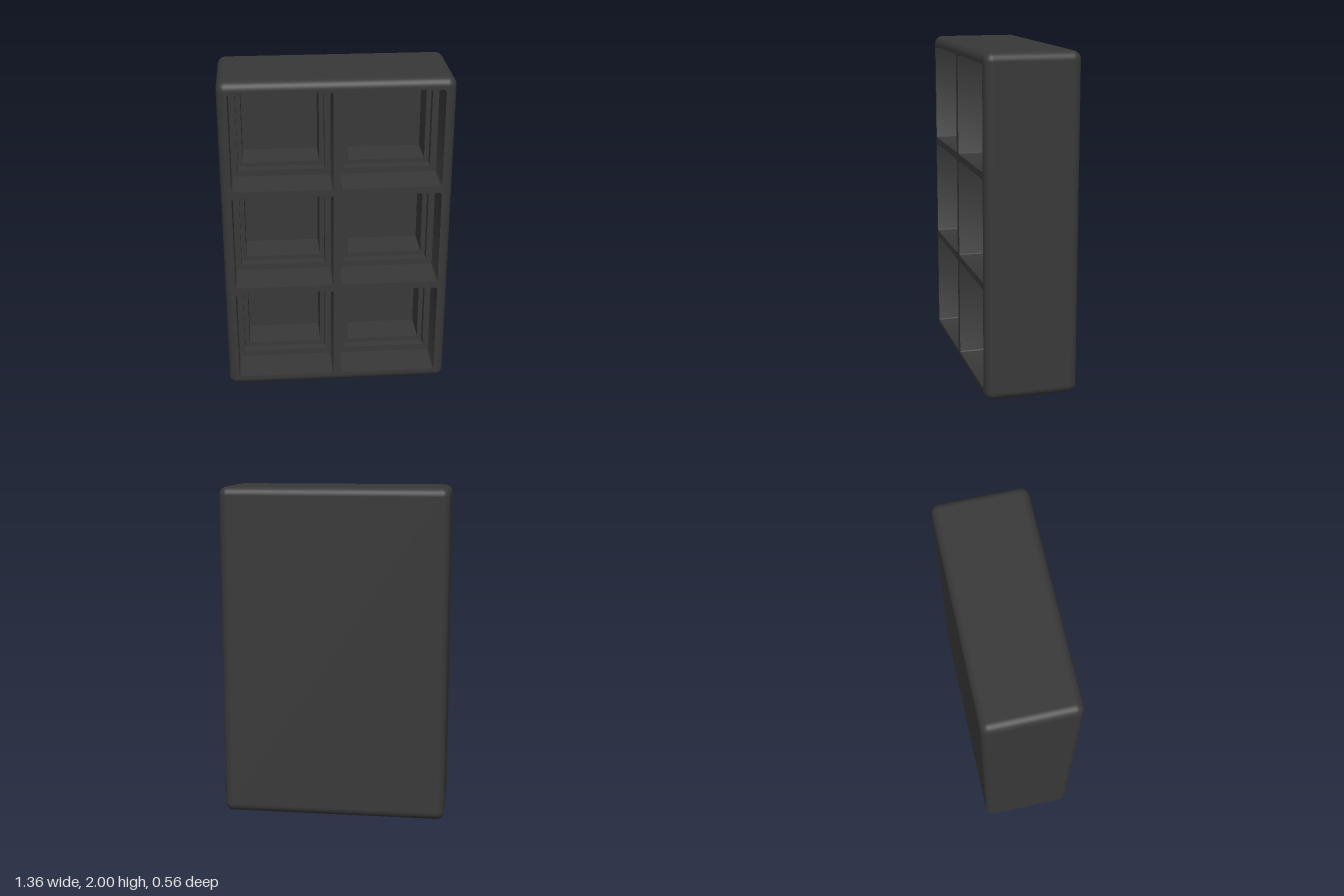
import * as THREE from 'three';
import { toCreasedNormals } from 'three/addons/utils/BufferGeometryUtils.js';
import { RoundedBoxGeometry } from 'three/addons/geometries/RoundedBoxGeometry.js';

const W = 1.36, H = 2, D = 0.556, R = 0.05;
const FRONT = D / 2;
const COLUMNS = [-0.32, 0.32];
const ROWS = [0.363, 1, 1.637];

// Nested square steps of a compartment: half width, corner radius, start and end depth
const STEPS = [
  { half: 0.298, r: 0.018, from: 0, to: 0.235 },
  { half: 0.26, r: 0, from: 0.235, to: 0.29 },
  { half: 0.231, r: 0, from: 0.29, to: 0.5 },
];

// Square outline, optionally with rounded corners, running counter-clockwise
function square(half, r, cx = 0, cy = 0, Type = THREE.Shape) {
  const s = new Type();
  if (r === 0) {
    s.moveTo(cx - half, cy - half);
    s.lineTo(cx + half, cy - half);
    s.lineTo(cx + half, cy + half);
    s.lineTo(cx - half, cy + half);
    s.closePath();
    return s;
  }
  const c = half - r;
  s.absarc(cx + c, cy - c, r, -Math.PI / 2, 0);
  s.absarc(cx + c, cy + c, r, 0, Math.PI / 2);
  s.absarc(cx - c, cy + c, r, Math.PI / 2, Math.PI);
  s.absarc(cx - c, cy - c, r, Math.PI, Math.PI * 1.5);
  s.closePath();
  return s;
}

// Inward-facing wall following a square outline between two depths
function wallGeometry({ half, r, from, to }) {
  const pts = square(half, r).getPoints(5);
  const pos = [];
  for (let i = 0; i < pts.length - 1; i++) {
    const a = pts[i], b = pts[i + 1];
    if (a.distanceTo(b) < 1e-6) continue;
    pos.push(a.x, a.y, -from, b.x, b.y, -to, a.x, a.y, -to);
    pos.push(a.x, a.y, -from, b.x, b.y, -from, b.x, b.y, -to);
  }
  const g = new THREE.BufferGeometry();
  g.setAttribute('position', new THREE.Float32BufferAttribute(pos, 3));
  return toCreasedNormals(g, Math.PI / 5);
}

// Rounded box with its flat front face left open
function shellGeometry() {
  const box = new RoundedBoxGeometry(W, H, D, 6, R);
  const src = box.index ? box.toNonIndexed() : box;
  const p = src.attributes.position, n = src.attributes.normal;
  const pos = [], nor = [];
  for (let i = 0; i < p.count; i += 3) {
    const flat = [0, 1, 2].every((k) => p.getZ(i + k) > FRONT - 1e-5);
    if (flat) continue;
    for (let k = i; k < i + 3; k++) {
      pos.push(p.getX(k), p.getY(k), p.getZ(k));
      nor.push(n.getX(k), n.getY(k), n.getZ(k));
    }
  }
  const g = new THREE.BufferGeometry();
  g.setAttribute('position', new THREE.Float32BufferAttribute(pos, 3));
  g.setAttribute('normal', new THREE.Float32BufferAttribute(nor, 3));
  return g;
}

export function createModel() {
  const model = new THREE.Group();
  model.name = 'cubbyShelf';
  const charcoal = new THREE.MeshStandardMaterial({ color: 0x383838 });
  charcoal.name = 'charcoal';

  const add = (parent, name, geometry, x = 0, y = 0, z = 0) => {
    const mesh = new THREE.Mesh(geometry, charcoal);
    mesh.name = name;
    mesh.position.set(x, y, z);
    parent.add(mesh);
  };

  // Outer casing
  add(model, 'casing', shellGeometry(), 0, H / 2, 0);

  // Front lattice with six openings
  const w = W / 2 - R;
  const face = new THREE.Shape([
    new THREE.Vector2(-w, R), new THREE.Vector2(w, R),
    new THREE.Vector2(w, H - R), new THREE.Vector2(-w, H - R),
  ]);
  for (const x of COLUMNS) {
    for (const y of ROWS) face.holes.push(square(STEPS[0].half, STEPS[0].r, x, y, THREE.Path));
  }
  add(model, 'frontLattice', new THREE.ShapeGeometry(face, 5), 0, 0, FRONT);

  // Shared compartment pieces: walls, and the ledge or back panel ending each step
  const walls = STEPS.map(wallGeometry);
  const ends = STEPS.map((step, i) => {
    const shape = square(step.half, step.r);
    const next = STEPS[i + 1];
    if (next) shape.holes.push(square(next.half, next.r, 0, 0, THREE.Path));
    return new THREE.ShapeGeometry(shape, 5);
  });

  // Recessed compartments
  for (const x of COLUMNS) {
    for (const y of ROWS) {
      const cubby = new THREE.Group();
      cubby.name = 'compartment';
      cubby.position.set(x, y, FRONT);
      STEPS.forEach((step, i) => {
        add(cubby, 'compartmentWall', walls[i]);
        add(cubby, i < 2 ? 'ledge' : 'backPanel', ends[i], 0, 0, -step.to);
      });
      model.add(cubby);
    }
  }
  return model;
}
